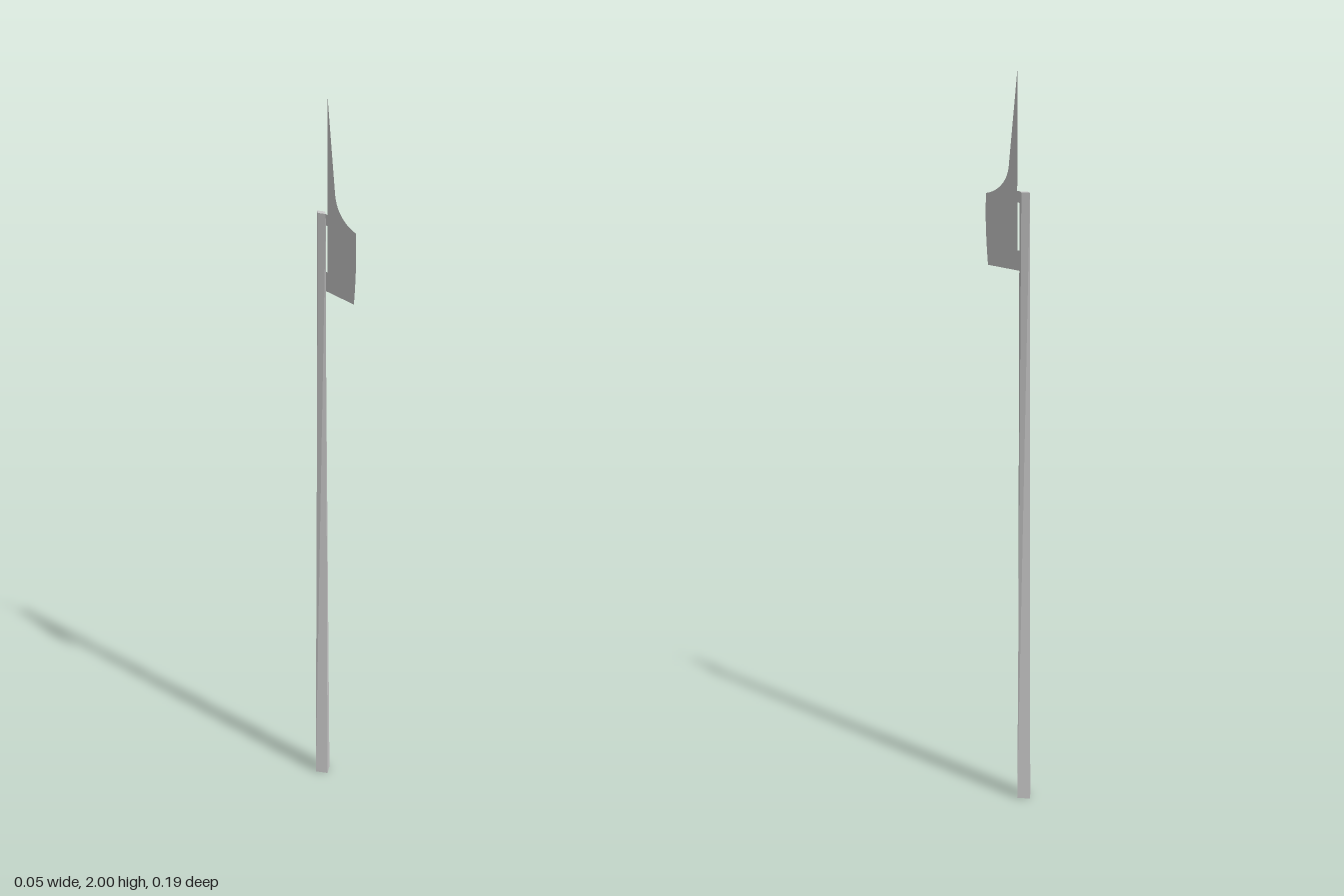
import * as THREE from 'three';

export function createModel() {
  const group = new THREE.Group();
  const material = new THREE.MeshStandardMaterial({ color: 0xcccccc, flatShading: true });
  const bladeMaterial = new THREE.MeshStandardMaterial({ color: 0xcccccc, flatShading: true, side: THREE.DoubleSide });

  // Four-sided shaft with a diamond section, tapering more across than in depth
  const height = 1.69;
  const shaftGeometry = new THREE.CylinderGeometry(1, 1, height, 4);
  shaftGeometry.translate(0, height / 2, 0);
  const p = shaftGeometry.attributes.position;
  for (let i = 0; i < p.count; i++) {
    const t = p.getY(i) / height;
    p.setX(i, p.getX(i) * THREE.MathUtils.lerp(0.024, 0.011, t));
    p.setZ(i, p.getZ(i) * THREE.MathUtils.lerp(0.026, 0.021, t) - THREE.MathUtils.lerp(0.069, 0.067, t));
  }
  shaftGeometry.computeVertexNormals();
  const shaft = new THREE.Mesh(shaftGeometry, material);
  shaft.name = 'shaft';
  group.add(shaft);

  // Paper-thin blade with a top spike and two tabs joining the shaft
  const outline = new THREE.Shape();
  outline.moveTo(-0.037, 2);
  outline.lineTo(-0.002, 1.75);
  outline.bezierCurveTo(0.005, 1.705, 0.05, 1.68, 0.092, 1.673);
  outline.quadraticCurveTo(0.099, 1.6, 0.085, 1.482);
  outline.lineTo(-0.05, 1.482);
  outline.lineTo(-0.05, 1.535);
  outline.lineTo(-0.038, 1.535);
  outline.lineTo(-0.038, 1.66);
  outline.lineTo(-0.05, 1.66);
  outline.lineTo(-0.05, 1.69);
  outline.lineTo(-0.037, 1.69);
  outline.closePath();
  const bladeGeometry = new THREE.ShapeGeometry(outline, 10);
  bladeGeometry.rotateY(-Math.PI / 2);
  const blade = new THREE.Mesh(bladeGeometry, bladeMaterial);
  blade.name = 'blade';
  group.add(blade);

  return group;
}
